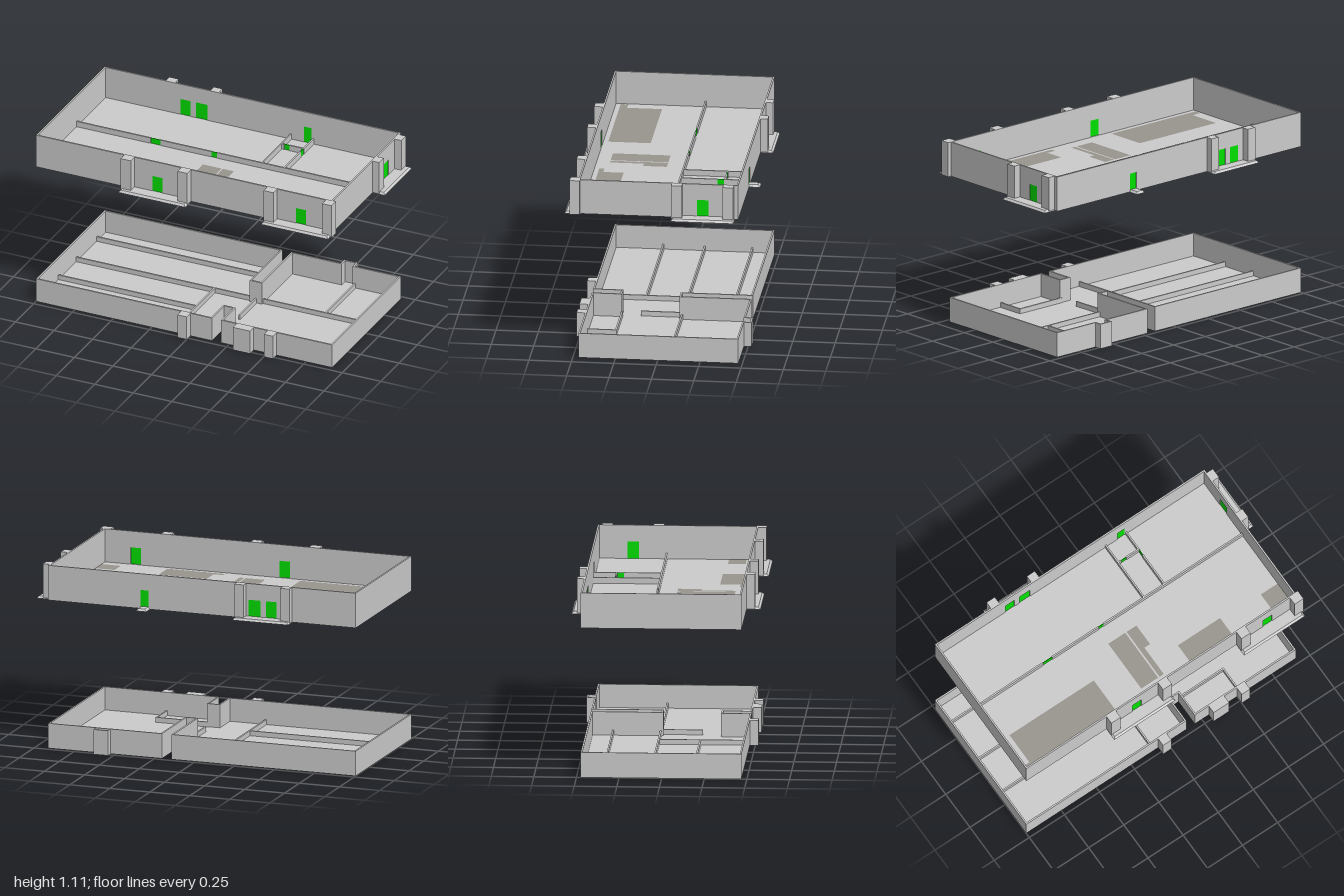
import * as THREE from 'three';

const mat = (color) => new THREE.MeshStandardMaterial({ color, flatShading: true });

export function createModel() {
  const root = new THREE.Group();
  const grey = mat(0xcccccc), green = mat(0x00e000), brown = mat(0x99958f);
  const T = 0.01; // wall thickness
  const B = -0.475, F = 0.468, L = -1, R = 0.92; // plan limits

  const group = (name) => {
    const g = new THREE.Group();
    g.name = name;
    root.add(g);
    return g;
  };

  // Box from its limits
  function box(parent, name, x0, x1, z0, z1, y0, y1, material = grey) {
    const m = new THREE.Mesh(new THREE.BoxGeometry(x1 - x0, y1 - y0, z1 - z0), material);
    m.position.set((x0 + x1) / 2, (y0 + y1) / 2, (z0 + z1) / 2);
    m.name = name;
    parent.add(m);
    return m;
  }

  // Wall along x or z starting at `at` across its thickness; each door is [start, end, top]
  function wall(parent, name, axis, from, to, at, y0, y1, doors = [], sill = y0) {
    const piece = (n, a, b, lo, hi, inset = 0, material = grey) => axis === 'x'
      ? box(parent, n, a, b, at + inset, at + T - inset, lo, hi, material)
      : box(parent, n, at + inset, at + T - inset, a, b, lo, hi, material);
    let start = from;
    for (const [a, b, top] of doors) {
      piece(name, start, a, y0, y1);
      if (top < y1) piece(name + 'Lintel', a, b, top, y1);
      if (sill > y0) piece(name + 'Sill', a, b, y0, sill);
      piece('door', a, b, sill, top, 0.003, green);
      start = b;
    }
    piece(name, start, to, y0, y1);
  }

  // Horizontal plate from plan outlines (x, z pairs), with its top at y
  const toPath = (pts, Kind) => new Kind(pts.map(([x, z]) => new THREE.Vector2(x, z)));
  function plate(parent, name, pts, y, depth, material = grey, holes = []) {
    const shape = toPath(pts, THREE.Shape);
    shape.holes = holes.map((h) => toPath(h, THREE.Path));
    const geo = new THREE.ExtrudeGeometry(shape, { depth, bevelEnabled: false });
    geo.rotateX(Math.PI / 2);
    const m = new THREE.Mesh(geo, material);
    m.position.y = y;
    m.name = name;
    parent.add(m);
  }
  const rect = (x0, x1, z0, z1) => [[x0, z0], [x1, z0], [x1, z1], [x0, z1]];

  // ---------- Lower storey ----------
  const lower = group('lowerStorey');
  const H = 0.15, low = 0.04;
  const s0 = 0.15, s1 = 0.21, sz = -0.06; // rear slot
  const f0 = 0.14, f1 = 0.2, fz = 0.3; // front slot
  plate(lower, 'lowerFloor', [
    [L, B], [s0, B], [s0, sz], [s1, sz], [s1, B], [0.53, B], [0.53, -0.52], [0.62, -0.52], [0.62, B],
    [R, B], [R, F], [f1, F], [f1, fz], [f0, fz], [f0, F], [L, F],
  ], 0.01, 0.01);

  const outerX = [ // from, to, z
    [L, s0, B], [s1, 0.53, B], [0.62, R, B], [0.53, 0.62, -0.52],
    [L, f0, F - T], [f1, R, F - T], [s0 - T, s1 + T, sz], [f0 - T, f1 + T, fz - T],
  ];
  const outerZ = [ // from, to, x
    [B, F, L], [B, F, R - T], [B, sz, s0 - T], [B, sz, s1],
    [fz, F, f0 - T], [fz, F, f1], [-0.52, B + T, 0.53], [-0.52, B + T, 0.61],
  ];
  for (const [a, b, z] of outerX) wall(lower, 'lowerOuterWall', 'x', a, b, z, 0, H);
  for (const [a, b, x] of outerZ) wall(lower, 'lowerOuterWall', 'z', a, b, x, 0, H);

  const innerX = [
    [L, s0 - T, -0.35], [L, s0 - T, -0.07], [s1, R, -0.07], [L, -0.1, 0.175], [f1, 0.53, 0.285],
  ];
  const innerZ = [[-0.07, F, -0.1], [B, -0.07, 0.62], [sz, 0.18, 0.175], [0.285, F, 0.52]];
  for (const [a, b, z] of innerX) wall(lower, 'lowerPartition', 'x', a, b, z, 0.01, low);
  for (const [a, b, x] of innerZ) wall(lower, 'lowerPartition', 'z', a, b, x, 0.01, low);

  for (const [a, b] of [[-0.06, 0], [0.3, 0.41], [0.5, 0.56]])
    box(lower, 'lowerPilaster', a, b, F - T, 0.518, 0, H);

  // ---------- Upper storey ----------
  const upper = group('upperStorey');
  const y0 = 0.895, fl = 0.905, y1 = 1.105, dt = 1.007, it = 0.94;

  // Floor openings closed by thin brown panels
  const openings = [
    [[-0.92, 0.18], [-0.32, 0.18], [-0.32, 0.43], [-0.98, 0.43], [-0.98, 0.385], [-0.92, 0.385]],
    rect(-0.12, 0, 0.04, 0.38),
    [[0.01, 0.04], [0.08, 0.04], [0.08, 0.18], [0.04, 0.18], [0.04, 0.38], [0.01, 0.38]],
    [[0.21, 0.28], [0.51, 0.28], [0.51, 0.43], [0.15, 0.43], [0.15, 0.4], [0.21, 0.4]],
    rect(0.79, R - T - 0.001, 0.295, 0.4),
  ];
  plate(upper, 'upperFloor', rect(L, R, B, F), fl, fl - y0, grey, openings);
  for (const o of openings) plate(upper, 'floorPanel', o, fl, 0.003, brown);

  // Outer walls with doors
  wall(upper, 'frontWall', 'x', L, R, F - T, y0, y1, [[-0.245, -0.18, dt], [0.685, 0.75, dt]], fl);
  wall(upper, 'backWall', 'x', L, R, B, y0, y1,
    [[-0.505, -0.44, dt], [-0.405, -0.33, dt], [0.295, 0.345, dt]], fl);
  wall(upper, 'leftEndWall', 'z', B, F, R - T, y0, y1, [[-0.3, -0.233, dt]], fl);
  wall(upper, 'rightEndWall', 'z', B, F, L, y0, y1);

  // Low partitions with doors
  wall(upper, 'longPartition', 'x', L, R, -0.075, fl, it, [[-0.51, -0.445, it], [-0.115, -0.08, it]]);
  wall(upper, 'crossPartition', 'z', B, -0.07, 0.205, fl, it);
  wall(upper, 'crossPartition', 'z', B, -0.07, 0.35, fl, it, [[-0.33, -0.29, it]]);
  wall(upper, 'closetPartition', 'x', 0.21, 0.355, -0.34, fl, it, [[0.23, 0.265, it]]);

  // Pilasters
  for (const [a, b] of [[-0.428, -0.362], [-0.06, 0.003], [0.498, 0.562], [0.877, 0.94]])
    box(upper, 'frontPilaster', a, b, F - T, 0.518, y0, y1);
  for (const [a, b] of [[-0.602, -0.543], [-0.315, -0.258]])
    box(upper, 'backPilaster', a, b, -0.518, B + T, y0, y1);
  for (const [a, b] of [[-0.45, -0.387], [-0.147, -0.085]])
    box(upper, 'endPilaster', R - T, 0.963, a, b, y0, y1);

  // Entrance aprons: slabs whose top edges slope in on the free sides
  function apron(x0, x1, z0, z1) {
    const m = box(upper, 'entranceApron', x0, x1, z0, z1, y0, 0.908);
    const p = m.geometry.attributes.position;
    for (let i = 0; i < p.count; i++) {
      if (p.getY(i) < 0) continue;
      p.setX(i, p.getX(i) - Math.sign(p.getX(i)) * 0.012);
      p.setZ(i, p.getZ(i) - Math.sign(p.getZ(i)) * 0.012);
    }
    m.geometry.computeVertexNormals();
  }
  apron(-0.43, 0.005, 0.45, 0.55);
  apron(0.495, 0.93, 0.45, 0.55);
  apron(-0.605, -0.255, -0.55, -0.46);
  apron(0.285, 0.35, -0.54, -0.46);
  apron(0.905, 1.0, -0.455, -0.083);

  return root;
}
